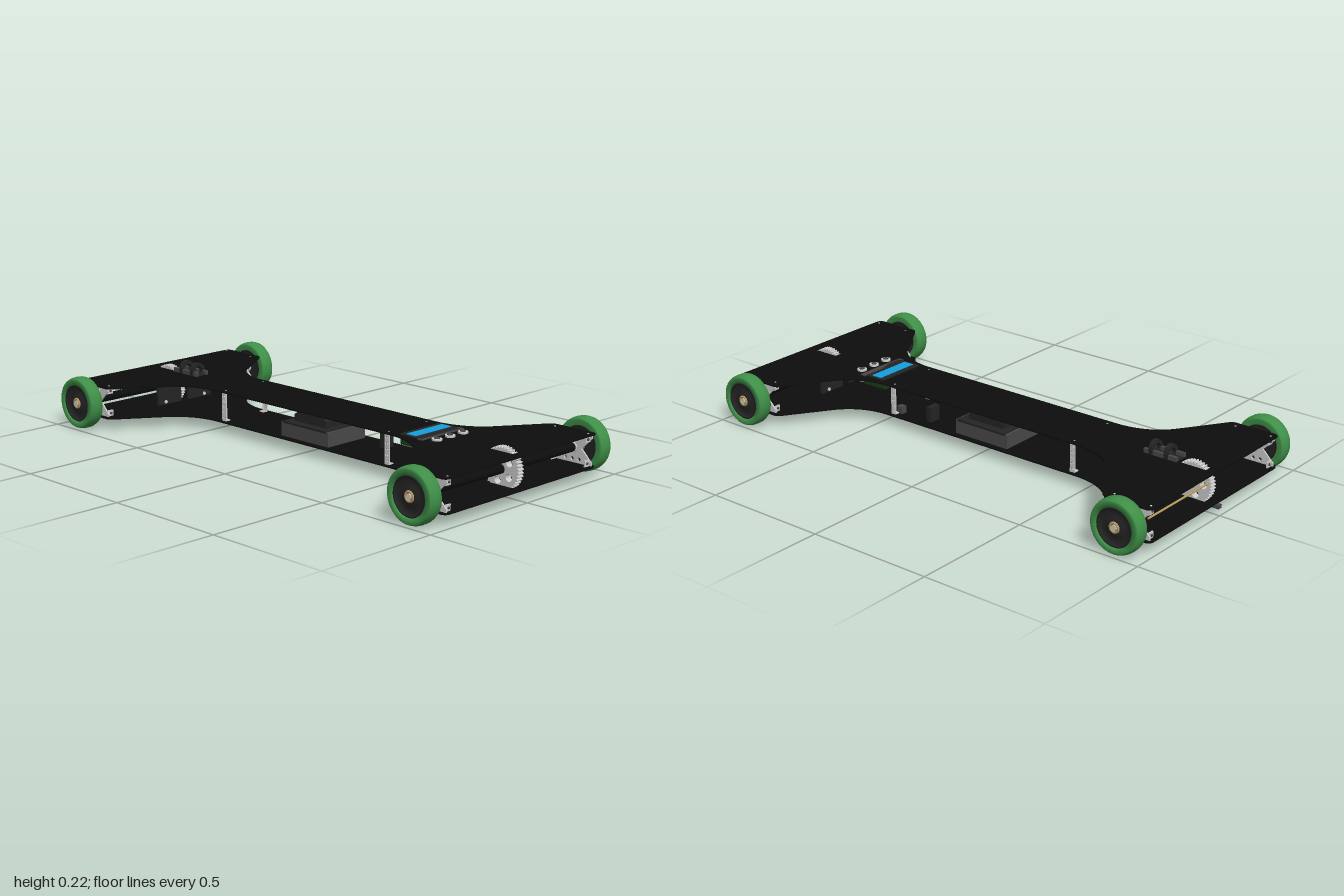
import * as THREE from 'three';

const mat = (color) => new THREE.MeshStandardMaterial({ color, side: THREE.DoubleSide });
const BLACK = mat(0x0d0d0d), DARK = mat(0x242424), GREY = mat(0x484848), METAL = mat(0xcccccc);
const GREEN = mat(0x3f8f48), GOLD = mat(0xb99a5b), BLUE = mat(0x149fdc), BOARD = mat(0x183a1c);

function add(parent, name, geometry, material, x = 0, y = 0, z = 0) {
  const mesh = new THREE.Mesh(geometry, material);
  mesh.name = name;
  mesh.position.set(x, y, z);
  parent.add(mesh);
  return mesh;
}
const box = (w, h, d) => new THREE.BoxGeometry(w, h, d);
const rod = (r, l, n = 32) => new THREE.CylinderGeometry(r, r, l, n);
const rodX = (r, l, n) => rod(r, l, n).rotateZ(Math.PI / 2);
const rodZ = (r, l, n) => rod(r, l, n).rotateX(Math.PI / 2);
const extrude = (shape, depth) =>
  new THREE.ExtrudeGeometry(shape, { depth, bevelEnabled: false, curveSegments: 12 });

// Revolved profile [radius, offset along x]
const latheX = (points) =>
  new THREE.LatheGeometry(points.map(([r, h]) => new THREE.Vector2(r, h)), 48).rotateZ(-Math.PI / 2);

function circleHole(x, y, r) {
  return new THREE.Path().absarc(x, y, r, 0, Math.PI * 2, true);
}

// Board with two wide ends, a narrow waist and slots for the gears
function deckGeometry() {
  const s = new THREE.Shape();
  s.moveTo(0.125, -0.46);
  s.lineTo(0.125, 0.46);
  s.bezierCurveTo(0.125, 0.54, 0.155, 0.61, 0.215, 0.655);
  s.lineTo(0.395, 0.775);
  s.quadraticCurveTo(0.41, 0.785, 0.41, 0.8);
  s.lineTo(0.41, 0.96);
  s.quadraticCurveTo(0.41, 0.985, 0.385, 0.985);
  s.lineTo(-0.385, 0.985);
  s.quadraticCurveTo(-0.41, 0.985, -0.41, 0.96);
  s.lineTo(-0.41, 0.8);
  s.quadraticCurveTo(-0.41, 0.785, -0.395, 0.775);
  s.lineTo(-0.215, 0.655);
  s.bezierCurveTo(-0.155, 0.61, -0.125, 0.54, -0.125, 0.46);
  s.lineTo(-0.125, 0);
  const half = s.getPoints(16).filter((p) => p.y >= 0);
  const outline = new THREE.Shape([...half, ...half.slice(0, -1).map((p) => new THREE.Vector2(-p.x, -p.y))]);
  for (const e of [-1, 1]) {
    const z = e * 0.892;
    outline.holes.push(new THREE.Path([[-0.02, -0.055], [-0.02, 0.055], [0.02, 0.055], [0.02, -0.055]]
      .map(([x, y]) => new THREE.Vector2(x, z + y))));
  }
  return extrude(outline, 0.005).rotateX(-Math.PI / 2);
}

function gearGeometry() {
  const teeth = 38, points = [];
  for (let i = 0; i < teeth; i++) {
    [[0, 0.074], [0.2, 0.08], [0.5, 0.08], [0.7, 0.074]].forEach(([t, r]) => {
      const a = ((i + t) / teeth) * Math.PI * 2;
      points.push(new THREE.Vector2(Math.cos(a) * r, Math.sin(a) * r));
    });
  }
  const s = new THREE.Shape(points);
  s.holes.push(circleHole(0, 0, 0.016));
  for (let i = 0; i < 5; i++) {
    const a = (i * Math.PI * 2) / 5;
    s.holes.push(circleHole(Math.cos(a) * 0.045, Math.sin(a) * 0.045, 0.014));
  }
  return extrude(s, 0.028).translate(0, 0, -0.014).rotateY(Math.PI / 2);
}

// Wheel with its outer face toward +x
function makeWheel() {
  const wheel = new THREE.Group();
  wheel.name = 'wheel';
  add(wheel, 'tyre', latheX([[0.073, -0.028], [0.092, -0.03], [0.098, -0.027], [0.102, -0.015], [0.103, 0],
    [0.102, 0.015], [0.098, 0.027], [0.092, 0.03], [0.073, 0.028], [0.073, -0.028]]), GREEN);
  add(wheel, 'hub', latheX([[0.0, -0.02], [0.066, -0.02], [0.066, -0.026], [0.074, -0.026], [0.074, 0.026],
    [0.066, 0.026], [0.064, 0.015], [0.036, 0.015], [0.034, 0.024], [0.0, 0.024]]), DARK);
  add(wheel, 'bearing', new THREE.TorusGeometry(0.017, 0.005, 10, 32).rotateY(Math.PI / 2), GOLD, 0.024);
  add(wheel, 'axleEnd', rodX(0.011, 0.01), METAL, 0.024);
  return wheel;
}

// Upright plate with holes and folded screw tabs, on the +x side
function makeBracket() {
  const bracket = new THREE.Group();
  bracket.name = 'axleBracket';
  const s = new THREE.Shape([[-0.085, -0.057], [0.085, -0.057], [0.085, -0.045], [0.04, 0], [0.085, 0.045],
    [0.085, 0.057], [-0.085, 0.057], [-0.085, 0.045], [-0.04, 0], [-0.085, -0.045]]
    .map(([x, y]) => new THREE.Vector2(x, y)));
  for (const x of [-0.03, 0, 0.03])
    for (const y of [-0.042, 0.042]) s.holes.push(circleHole(x, y, 0.007));
  add(bracket, 'bracketPlate', extrude(s, 0.006).rotateY(Math.PI / 2), METAL, 0.39);
  for (const z of [-0.075, 0.075])
    for (const y of [-0.045, 0.045]) {
      add(bracket, 'screwTab', box(0.028, 0.024, 0.005), METAL, 0.378, y, z);
      add(bracket, 'tabScrew', rodZ(0.005, 0.012, 12), GREY, 0.376, y, z);
      add(bracket, 'deckScrew', rod(0.004, 0.012, 10), METAL, 0.38, Math.sign(y) * 0.06, z);
    }
  return bracket;
}

export function createModel() {
  const model = new THREE.Group();
  model.name = 'rollingPlatform';
  const AXLE_Y = 0.105, AXLE_Z = 0.89;

  const deck = deckGeometry();
  add(model, 'topDeck', deck, BLACK, 0, 0.165);
  add(model, 'bottomDeck', deck, BLACK, 0, 0.043);

  // Axles, gears, wheels and brackets at both ends
  for (const end of [-1, 1]) {
    const axle = new THREE.Group();
    axle.name = end > 0 ? 'frontAxle' : 'rearAxle';
    axle.position.set(0, AXLE_Y, end * AXLE_Z);
    add(axle, 'axleTube', rodX(0.017, 0.77), BLACK);
    add(axle, 'driveGear', gearGeometry(), METAL);
    for (const side of [-1, 1]) {
      const half = new THREE.Group();
      half.name = side > 0 ? 'leftAxleEnd' : 'rightAxleEnd';
      half.rotation.y = side > 0 ? 0 : Math.PI;
      const wheel = makeWheel();
      wheel.position.x = 0.459;
      half.add(wheel, makeBracket());
      add(half, 'axleCollar', rodX(0.021, 0.05), METAL, 0.41);
      axle.add(half);
      add(axle, 'gearMount', box(0.12, 0.11, 0.012), DARK, side * 0.08, 0, -end * 0.085);
      for (const y of [-0.045, 0.045])
        add(axle, 'mountScrew', rodZ(0.007, 0.02, 12), METAL, side * 0.103, y, -end * 0.085);
    }
    model.add(axle);
  }

  // Motor beside the front gear, and thin rod at the rear
  add(model, 'motor', rodX(0.036, 0.085), METAL, -0.07, 0.107, 0.835);
  add(model, 'motorCap', rodX(0.028, 0.02), GREY, -0.12, 0.107, 0.835);
  add(model, 'rearRod', rodX(0.004, 0.38, 10), GOLD, 0.19, 0.12, -0.955);
  add(model, 'rearCatch', box(0.02, 0.014, 0.05), GREY, 0, 0.037, -0.975);

  // Perforated posts between the decks
  for (const z of [-0.435, 0.44])
    for (const side of [-1, 1]) {
      const s = new THREE.Shape([[-0.011, 0.048], [0.011, 0.048], [0.011, 0.165], [-0.011, 0.165]]
        .map(([x, y]) => new THREE.Vector2(x, y)));
      for (let i = 0; i < 5; i++)
        for (const x of [-0.005, 0.005]) s.holes.push(circleHole(x, 0.062 + i * 0.022, 0.003));
      add(model, 'deckPost', extrude(s, 0.004).rotateY(Math.PI / 2), METAL, side * 0.11 - 0.002, 0, z);
      for (const y of [0.05, 0.163]) add(model, 'postFoot', box(0.024, 0.004, 0.022), METAL, side * 0.1, y, z);
      add(model, 'postScrew', rod(0.004, 0.128, 8), METAL, side * 0.1, 0.1065, z);
    }

  // Battery, controller and wiring in the waist
  add(model, 'batteryCase', box(0.2, 0.056, 0.25), GREY, 0, 0.076, 0.005);
  add(model, 'batteryLip', box(0.205, 0.008, 0.23), DARK, 0, 0.104, 0.005);
  const lid = new THREE.Shape([[-0.08, 0.105], [0.09, 0.105], [0.09, 0.133], [0.07, 0.148], [-0.06, 0.148],
    [-0.08, 0.133]].map(([x, y]) => new THREE.Vector2(-x, y)));
  add(model, 'controller', extrude(lid, 0.14).rotateY(Math.PI / 2), DARK, -0.07);
  for (const x of [-0.02, 0, 0.02])
    add(model, 'wire', new THREE.TubeGeometry(new THREE.CatmullRomCurve3([[x, 0.132, -0.075], [x, 0.13, -0.14],
      [x * 1.2, 0.135, -0.19], [x * 1.5, 0.164, -0.23]].map((p) => new THREE.Vector3(...p))), 20, 0.003, 6), DARK);
  add(model, 'batteryHatch', box(0.06, 0.004, 0.22), GREY, 0.03, 0.042, 0);
  add(model, 'receiver', box(0.05, 0.06, 0.022), DARK, 0.06, 0.078, 0.28);
  add(model, 'powerSwitch', box(0.025, 0.03, 0.025), GREY, 0.08, 0.063, 0.425);

  // Display and push buttons
  add(model, 'displayBezel', box(0.21, 0.008, 0.105), DARK, 0, 0.17, 0.55);
  add(model, 'screen', box(0.19, 0.004, 0.045), BLUE, 0, 0.174, 0.542);
  add(model, 'displayStrip', box(0.225, 0.006, 0.025), GREY, 0, 0.171, 0.598);
  add(model, 'displayBoard', box(0.2, 0.03, 0.11), BOARD, 0, 0.148, 0.55);
  for (const x of [-0.07, 0, 0.07]) {
    add(model, 'buttonRing', rod(0.019, 0.008), METAL, x, 0.173, 0.643);
    add(model, 'buttonCap', rod(0.011, 0.008), GREY, x, 0.176, 0.643);
    add(model, 'buttonBody', rod(0.014, 0.04), METAL, x, 0.147, 0.643);
  }

  // Cable clamp on the rear of the top deck
  const ring = new THREE.Shape().absarc(0, 0, 0.033, 0, Math.PI * 2, false);
  ring.holes.push(circleHole(0, 0, 0.019));
  for (const z of [-0.72, -0.785]) {
    add(model, 'clampRing', extrude(ring, 0.018), DARK, 0, 0.186, z - 0.009);
    for (const side of [-1, 1]) add(model, 'clampFoot', box(0.01, 0.022, 0.018), DARK, side * 0.027, 0.18, z);
  }
  for (const side of [-1, 1]) add(model, 'clampRail', box(0.012, 0.018, 0.14), GREY, side * 0.025, 0.178, -0.76);
  add(model, 'clampBase', box(0.056, 0.004, 0.14), DARK, 0, 0.171, -0.76);

  return model;
}
